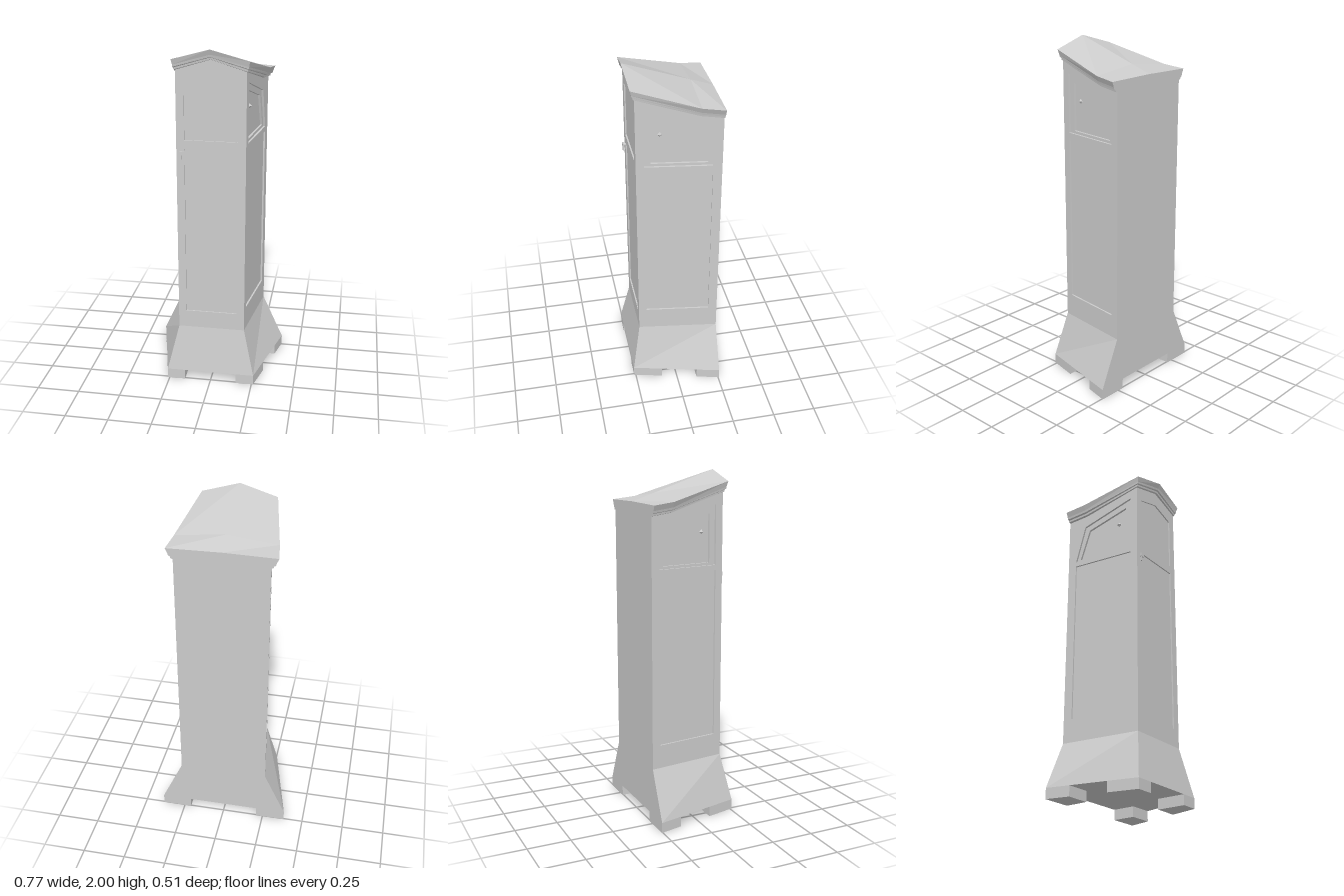
import * as THREE from 'three';

const mat = new THREE.MeshStandardMaterial({ color: 0xcccccc, flatShading: true });
const BACK = -0.255;

function mesh(name, geo) {
  const m = new THREE.Mesh(geo, mat);
  m.name = name;
  return m;
}

// Flat-shaded geometry from quads, corners counter-clockwise from outside
function quads(list) {
  const pos = [];
  for (const [a, b, c, d] of list) pos.push(...a, ...b, ...c, ...a, ...c, ...d);
  const g = new THREE.BufferGeometry();
  g.setAttribute('position', new THREE.Float32BufferAttribute(pos, 3));
  g.computeVertexNormals();
  return g;
}

// Quads joining successive open or closed rings
function loft(rings, closed) {
  const out = [];
  for (let r = 0; r + 1 < rings.length; r++) {
    const a = rings[r], b = rings[r + 1], n = a.length;
    for (let i = 0; i < (closed ? n : n - 1); i++) {
      const j = (i + 1) % n;
      out.push([a[i], a[j], b[j], b[i]]);
    }
  }
  return quads(out);
}

const shapeOf = (pts) => new THREE.Shape(pts.map((p) => new THREE.Vector2(...p)));

// Wall in its own plane; each panel is a list of [outline, depth] steps sinking inwards
function wall(name, outline, panels) {
  const g = new THREE.Group();
  g.name = name;
  const shape = shapeOf(outline);
  for (const p of panels) {
    shape.holes.push(shapeOf(p.steps[0][0]));
    g.add(mesh(p.name + 'Frame', loft(p.steps.map(([pts, d]) => pts.map(([x, y]) => [x, y, -d])), true)));
    const [pts, depth] = p.steps.at(-1);
    g.add(mesh(p.name, new THREE.ShapeGeometry(shapeOf(pts)).translate(0, 0, -depth)));
  }
  g.add(mesh(name + 'Face', new THREE.ShapeGeometry(shape)));
  return g;
}

const rect = (x0, y0, x1, y1) => [[x0, y0], [x1, y0], [x1, y1], [x0, y1]];

function sideWall() {
  // u runs from the front corner to the back along the slanted side
  const dir = new THREE.Vector3(0.065, 0, -0.465);
  const len = dir.length();
  dir.normalize();
  const u = (z) => (0.21 - z) / -dir.z;
  const at = (pts) => pts.map(([z, y]) => [u(z), y]);
  const outer = at([[0.165, 1.475], [-0.205, 1.475], [-0.145, 1.705], [0.165, 1.815]]);
  const inner = at([[0.13, 1.49], [-0.18, 1.49], [-0.12, 1.68], [0.13, 1.765]]);
  const low = rect(u(0.165), 0.47, u(-0.205), 1.445);
  const g = wall('sideWall',
    [[0, 0.335], [len, 0.335], [len, 1.765], [u(-0.13), 1.78], [0, 1.88]],
    [
      { name: 'sideUpperPanel', steps: [[outer, 0], [outer, 0.012], [inner, 0.012], [inner, 0.025]] },
      { name: 'sideLowerPanel', steps: [[low, 0], [low, 0.01]] },
    ]);
  const knob = mesh('sideKnob', new THREE.OctahedronGeometry(0.014));
  knob.position.set(u(0.08), 1.665, -0.02);
  g.add(knob);
  const up = new THREE.Vector3(0, 1, 0);
  g.quaternion.setFromRotationMatrix(
    new THREE.Matrix4().makeBasis(dir, up, new THREE.Vector3().crossVectors(dir, up)));
  g.position.set(0.195, 0, 0.21);
  return g;
}

export function createModel() {
  const model = new THREE.Group();
  model.name = 'tallCabinet';

  // Front wall with a gabled upper panel and the long door
  const gable = [[-0.15, 1.49], [0.15, 1.49], [0.15, 1.81], [0, 1.855], [-0.15, 1.81]];
  const door = rect(-0.15, 0.44, 0.15, 1.44);
  const front = wall('frontWall',
    [[-0.195, 0.335], [0.195, 0.335], [0.195, 1.88], [0, 1.94], [-0.195, 1.88]],
    [
      { name: 'frontUpperPanel', steps: [[gable, 0], [gable, 0.008]] },
      { name: 'door', steps: [[door, 0], [door, 0.008]] },
    ]);
  front.position.z = 0.21;
  model.add(front);

  // Door handle: mounting knob and small drop lever
  const stem = mesh('handleStem', new THREE.CylinderGeometry(0.008, 0.008, 0.014, 8).rotateX(Math.PI / 2));
  stem.position.set(-0.162, 1.42, 0.215);
  const grip = mesh('handleGrip', new THREE.BoxGeometry(0.026, 0.022, 0.008));
  grip.position.set(-0.162, 1.418, 0.222);
  const lever = mesh('handleLever', new THREE.BoxGeometry(0.008, 0.05, 0.008));
  lever.position.set(-0.167, 1.405, 0.221);
  model.add(stem, grip, lever);

  // Cornice: moulding profile (out, up) swept round front and sides
  const half = [ // x, z, lower edge y, outward direction
    [0.195, 0.21, 1.88, 0.45, 0.6],
    [0.2425, -0.13, 1.78, 1, 0],
    [0.26, BACK, 1.765, 1, 0],
  ];
  const mirrored = half.map(([x, z, y, dx, dz]) => [-x, z, y, -dx, dz]).reverse();
  const path = [...mirrored, [0, 0.21, 1.94, 0, 0.9], ...half];
  const profile = [[0, 0], [0.012, 0.003], [0.014, 0.014], [0.024, 0.018], [0.027, 0.03], [0.04, 0.06]];
  const rings = profile.map(([d, h]) => path.map(([x, z, y, dx, dz]) => [x + dx * d, y + h, z + dz * d]));
  model.add(mesh('cornice', loft(rings, false)));

  // Roof falling from the front gable to a nearly level back edge
  const [b0, m0, f0, fm, f1, m1, b1] = rings.at(-1);
  model.add(mesh('roof', loft([
    [f0, fm, f1], [m0, [0, 1.872, -0.13], m1], [b0, [0, 1.83, BACK], b1],
  ], false)));

  // Flared plinth
  const ring = (xf, zf, xb, y) => [[-xb, y, BACK], [-xf, y, zf], [xf, y, zf], [xb, y, BACK]];
  const low = ring(0.26, 0.26, 0.385, 0.06);
  model.add(mesh('plinth', loft([low, ring(0.195, 0.21, 0.26, 0.335)], false)));
  model.add(mesh('plinthUnderside', quads([[low[0], low[3], low[2], low[1]]])));

  // Flat back, following the outline of plinth, body and cornice
  const edge = [[0.385, 0.06], [0.26, 0.335], ...profile.map(([d, h]) => [0.26 + d, 1.765 + h])];
  const backPts = [...edge, [0, 1.83], ...edge.map(([x, y]) => [-x, y]).reverse()];
  model.add(mesh('back', new THREE.ShapeGeometry(shapeOf(backPts)).rotateY(Math.PI).translate(0, 0, BACK)));

  // Side walls and corner feet, mirrored
  const sideX = (z) => 0.26 + (0.26 - z) * 0.125 / 0.515;
  const feet = {
    frontFoot: [[0.155, 0.26], [0.26, 0.26], [sideX(0.09), 0.09], [0.155, 0.09]],
    backFoot: [[0.21, -0.12], [sideX(-0.12), -0.12], [0.385, BACK], [0.21, BACK]],
  };
  for (const s of [1, -1]) {
    const side = new THREE.Group();
    side.name = s > 0 ? 'leftSide' : 'rightSide';
    side.scale.x = s;
    side.add(sideWall());
    for (const [name, pts] of Object.entries(feet)) {
      const geo = new THREE.ExtrudeGeometry(shapeOf(pts.map(([x, z]) => [x, -z])), { depth: 0.06, bevelEnabled: false });
      side.add(mesh(name, geo.rotateX(-Math.PI / 2)));
    }
    model.add(side);
  }
  return model;
}
